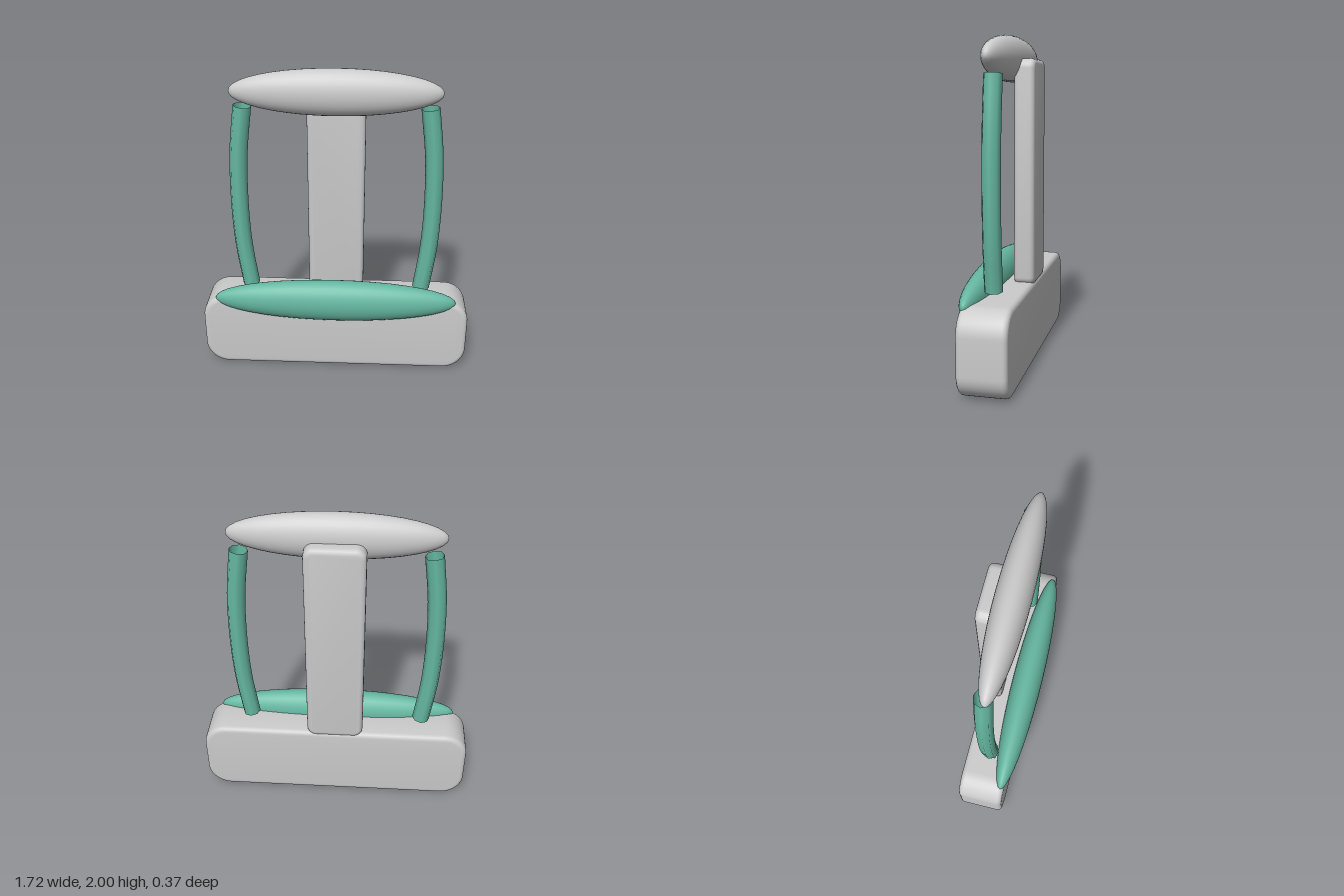
import * as THREE from 'three';
import { toCreasedNormals } from 'three/addons/utils/BufferGeometryUtils.js';

const grey = new THREE.MeshStandardMaterial({ color: 0xcccccc });
const green = new THREE.MeshStandardMaterial({ color: 0x66b8a2 });
const greenOpen = new THREE.MeshStandardMaterial({ color: 0x66b8a2, side: THREE.DoubleSide });

// Upright slab with rounded corners and softened front and back edges
function softSlab(name, w, y0, y1, z0, z1, radius, bevel) {
  const x = w / 2 - bevel, b = y0 + bevel, t = y1 - bevel, r = radius - bevel;
  const s = new THREE.Shape();
  s.moveTo(-x + r, b);
  s.lineTo(x - r, b);
  s.absarc(x - r, b + r, r, -Math.PI / 2, 0);
  s.lineTo(x, t - r);
  s.absarc(x - r, t - r, r, 0, Math.PI / 2);
  s.lineTo(-x + r, t);
  s.absarc(-x + r, t - r, r, Math.PI / 2, Math.PI);
  s.lineTo(-x, b + r);
  s.absarc(-x + r, b + r, r, Math.PI, Math.PI * 1.5);
  const geo = new THREE.ExtrudeGeometry(s, {
    depth: z1 - z0 - 2 * bevel, bevelThickness: bevel, bevelSize: bevel,
    bevelSegments: 4, curveSegments: 6,
  });
  geo.translate(0, 0, z0 + bevel);
  const mesh = new THREE.Mesh(toCreasedNormals(geo, 0.7), grey);
  mesh.name = name;
  return mesh;
}

// Long ellipsoid with its poles at the left and right ends
function ellipsoid(name, material, radii, position) {
  const geo = new THREE.SphereGeometry(1, 32, 20);
  geo.rotateZ(Math.PI / 2);
  geo.scale(...radii);
  const mesh = new THREE.Mesh(geo, material);
  mesh.position.set(...position);
  mesh.name = name;
  return mesh;
}

// Open tube that bows outward between the base and the top bar
function sideTube(name, side) {
  const curve = new THREE.CatmullRomCurve3(
    [[0.553, 0.555], [0.589, 0.85], [0.6, 1.16], [0.589, 1.47], [0.553, 1.765]]
      .map(([x, y]) => new THREE.Vector3(side * x, y, -0.035)));
  const mesh = new THREE.Mesh(new THREE.TubeGeometry(curve, 20, 0.055, 8, false), greenOpen);
  mesh.name = name;
  return mesh;
}

export function createModel() {
  const group = new THREE.Group();
  group.name = 'model';
  group.add(
    softSlab('base', 1.72, 0.005, 0.515, -0.185, 0.105, 0.15, 0.03),
    softSlab('backColumn', 0.355, 0.49, 1.86, -0.185, -0.06, 0.06, 0.03),
    ellipsoid('frontCushion', green, [0.775, 0.14, 0.1], [0, 0.505, 0.083]),
    ellipsoid('topBar', grey, [0.625, 0.14, 0.1], [0, 1.86, -0.01]),
    sideTube('leftTube', 1),
    sideTube('rightTube', -1),
  );
  return group;
}
